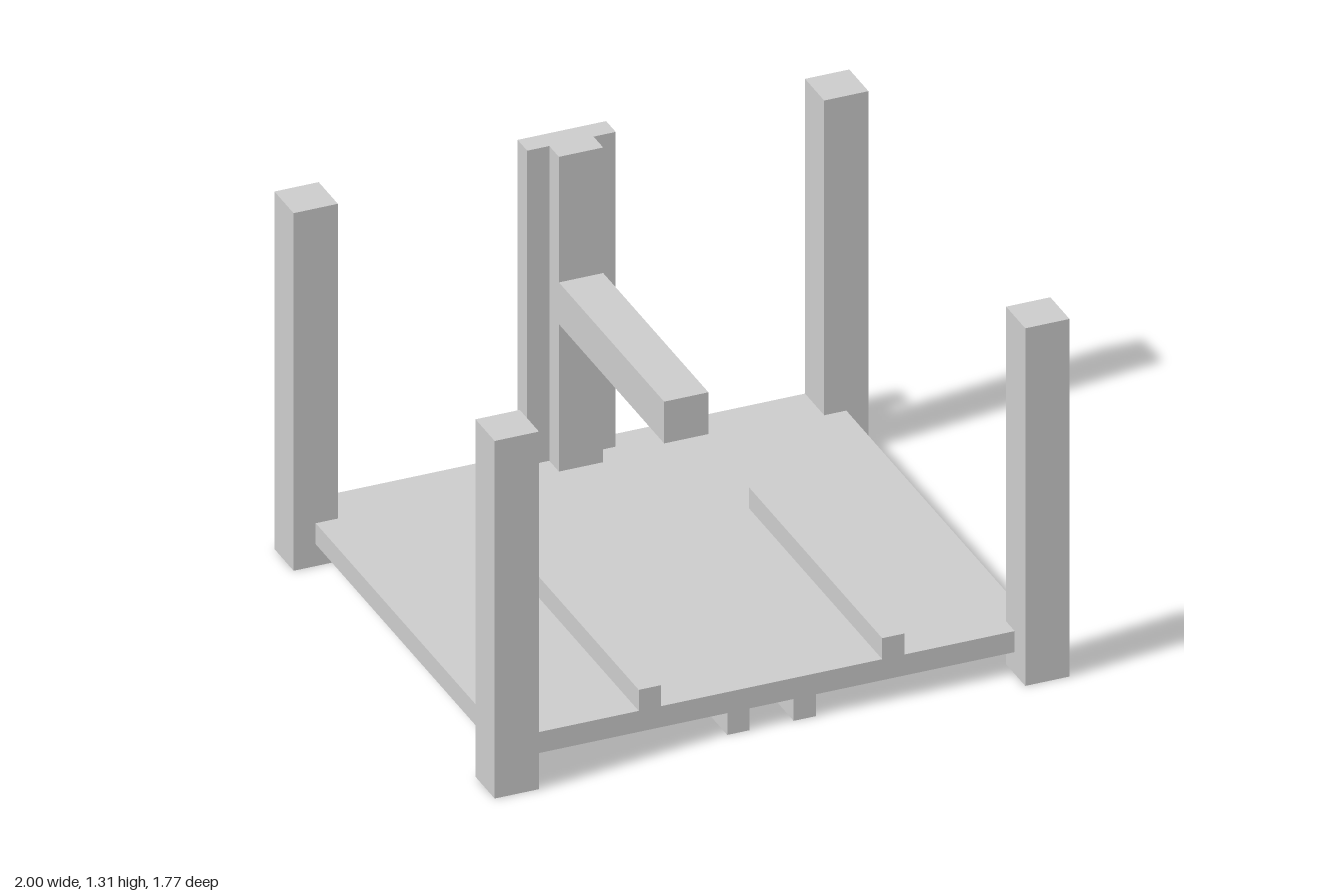
import * as THREE from 'three';

const material = new THREE.MeshStandardMaterial({ color: 0xcccccc, flatShading: true });

// Box given by its limits on each axis
function block(name, [x0, x1], [y0, y1], [z0, z1]) {
  const mesh = new THREE.Mesh(new THREE.BoxGeometry(x1 - x0, y1 - y0, z1 - z0), material);
  mesh.position.set((x0 + x1) / 2, (y0 + y1) / 2, (z0 + z1) / 2);
  mesh.name = name;
  return mesh;
}

export function createModel() {
  const group = new THREE.Group();
  group.name = 'postedPlatform';

  const top = 1.31, back = -0.885, front = 0.8;
  const plateBottom = 0.08, plateTop = 0.157;

  // Flat base plate
  group.add(block('basePlate', [-0.923, 0.923], [plateBottom, plateTop], [back, front]));

  for (const side of [-1, 1]) {
    const label = side > 0 ? 'left' : 'right';
    const span = (a, b) => (side > 0 ? [a, b] : [-b, -a]);

    // Corner posts
    group.add(block(label + 'FrontPost', span(0.846, 1), [0, top], [0.731, 0.885]));
    group.add(block(label + 'BackPost', span(0.846, 1), [0, top], [back, -0.731]));

    // Guide rail on top of the plate
    group.add(block(label + 'GuideRail', span(0.385, 0.462), [plateTop, 0.234], [-0.27, front]));

    // Runner under the plate
    group.add(block(label + 'Runner', span(0.077, 0.154), [0, plateBottom], [-0.808, front]));
  }

  // Rear mast: wide back board with a narrower rib in front
  group.add(block('mastBoard', [-0.154, 0.154], [0, top], [back, -0.808]));
  group.add(block('mastRib', [-0.077, 0.077], [plateTop, top], [-0.808, -0.731]));

  // Arm reaching forward from the mast
  group.add(block('mastArm', [-0.077, 0.077], [0.697, 0.85], [-0.731, 0.115]));

  return group;
}
